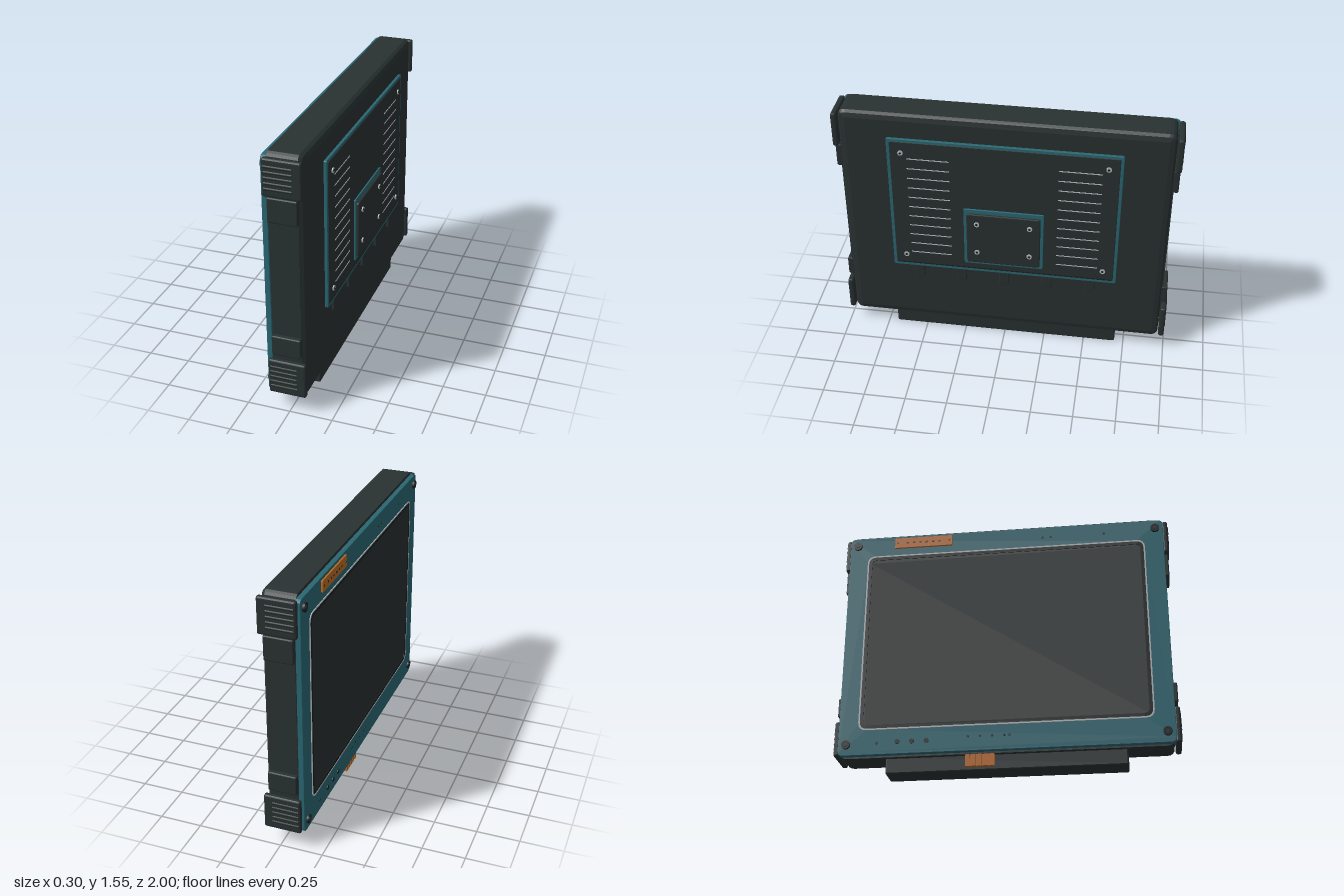
import * as THREE from 'three';

const mat = (name, color) => {
  const m = new THREE.MeshStandardMaterial({ color });
  m.name = name;
  return m;
};

// Rounded rectangle in the (-z, y) plane
function roundRect(target, z0, z1, y0, y1, r) {
  const a = -z1, b = -z0;
  target.moveTo(a + r, y0);
  target.lineTo(b - r, y0);
  target.quadraticCurveTo(b, y0, b, y0 + r);
  target.lineTo(b, y1 - r);
  target.quadraticCurveTo(b, y1, b - r, y1);
  target.lineTo(a + r, y1);
  target.quadraticCurveTo(a, y1, a, y1 - r);
  target.lineTo(a, y0 + r);
  target.quadraticCurveTo(a, y0, a + r, y0);
  return target;
}

// Slab facing along x, outline in z/y, with bevelled rims and an optional hole
function slab(z0, z1, y0, y1, x0, x1, { r = 0.015, size = 0.006, thick = 0.006, segments = 2, hole } = {}) {
  const shape = roundRect(new THREE.Shape(), z0, z1, y0, y1, r);
  if (hole) shape.holes.push(roundRect(new THREE.Path(), ...hole));
  const g = new THREE.ExtrudeGeometry(shape, {
    depth: x1 - x0 - 2 * thick, bevelEnabled: size > 0, bevelSize: size,
    bevelThickness: thick, bevelOffset: -size, bevelSegments: segments, curveSegments: 4,
  });
  g.rotateY(Math.PI / 2);
  g.translate(x0 + thick, 0, 0);
  return g;
}

export function createModel() {
  const model = new THREE.Group();
  const dark = mat('dark casing', 0x293131);
  const screenMat = mat('dark glass', 0x292f31);
  const black = mat('black fittings', 0x1a1f20);
  const teal = mat('teal trim', 0x2a6773);
  const copper = mat('copper', 0xbb6a25);
  const steel = mat('steel', 0xb4babd);
  const flat = { size: 0, thick: 0, r: 0.004 };

  const add = (name, geometry, material) => {
    const m = new THREE.Mesh(geometry, material);
    m.name = name;
    model.add(m);
    return m;
  };
  const box = (name, material, x0, x1, y0, y1, z0, z1) => {
    const m = add(name, new THREE.BoxGeometry(x1 - x0, y1 - y0, z1 - z0), material);
    m.position.set((x0 + x1) / 2, (y0 + y1) / 2, (z0 + z1) / 2);
  };
  // Cylinder along x
  const disc = (name, material, x0, x1, y, z, r, sides = 16) => {
    const g = new THREE.CylinderGeometry(r, r, x1 - x0, sides).rotateZ(-Math.PI / 2);
    add(name, g, material).position.set((x0 + x1) / 2, y, z);
  };

  // Main casing with a straight front and a chamfered rear shell
  add('casing', slab(-0.957, 0.957, 0.09, 1.555, -0.107, 0.05, { ...flat, r: 0.045 }), dark);
  add('rearShell', slab(-0.957, 0.957, 0.09, 1.555, 0.02, 0.089,
    { r: 0.045, size: 0.04, thick: 0.025, segments: 2 }), dark);

  // Foot along the bottom
  add('foot', slab(-0.695, 0.695, 0, 0.11, -0.08, 0.068, { r: 0.012, size: 0.008, thick: 0.008 }), dark);

  // Screen side: bezel, gasket, inner frame and glass
  add('bezel', slab(-0.968, 0.968, 0.1, 1.537, -0.136, -0.105,
    { r: 0.03, size: 0.003, thick: 0.003, hole: [-0.845, 0.845, 0.26, 1.395, 0.045] }), teal);
  add('gasket', slab(-0.854, 0.854, 0.251, 1.404, -0.14, -0.13,
    { ...flat, r: 0.05, hole: [-0.845, 0.845, 0.26, 1.395, 0.045] }), steel);
  add('screenFrame', slab(-0.847, 0.847, 0.258, 1.397, -0.139, -0.128,
    { ...flat, r: 0.045, hole: [-0.825, 0.825, 0.28, 1.375, 0.03] }), black);
  add('screen', slab(-0.835, 0.835, 0.27, 1.385, -0.135, -0.127, { ...flat, r: 0.03 }), screenMat);

  // Bezel screws with sockets
  for (const z of [-0.92, 0.92]) for (const y of [0.165, 1.48]) {
    disc('bezelScrew', black, -0.148, -0.134, y, z, 0.026);
    disc('bezelScrewSocket', dark, -0.15, -0.147, y, z, 0.012, 6);
  }

  // Copper plate with rivets and a centre row of marks
  add('copperPlate', slab(-0.685, -0.325, 1.45, 1.52, -0.146, -0.135, { r: 0.006, size: 0.002, thick: 0.002 }), copper);
  for (const z of [-0.667, -0.343]) disc('plateRivet', black, -0.148, -0.145, 1.485, z, 0.006, 10);
  for (let i = 0; i < 6; i++) box('plateMark', black, -0.147, -0.145, 1.479, 1.489, -0.612 + i * 0.04, -0.598 + i * 0.04);

  // Buttons and small indicator holes on the bezel
  disc('statusLight', black, -0.138, -0.135, 0.17, -0.74, 0.008, 10);
  for (const z of [-0.62, -0.535, -0.45]) disc('button', black, -0.142, -0.135, 0.173, z, 0.014);
  for (const z of [-0.21, -0.14, -0.07, 0, 0.03]) disc('indicator', black, -0.138, -0.135, 0.187, z, 0.007, 10);
  for (const z of [0.235, 0.285, 0.61]) disc('sensorHole', black, -0.138, -0.135, 1.465, z, 0.007, 10);

  // Copper edge connector with fingers
  box('connector', copper, -0.102, -0.084, 0.02, 0.094, -0.23, -0.06);
  box('connectorMount', black, -0.086, -0.075, 0.03, 0.094, -0.22, -0.07);
  for (let i = 0; i < 5; i++) {
    const z = -0.215 + i * 0.035;
    box('connectorFinger', copper, -0.112, -0.1, 0.018, 0.088, z - 0.013, z + 0.013);
  }

  // Both narrow sides: grip rail, end blocks and ribbed corner guards
  for (const s of [-1, 1]) {
    const span = (a, b) => [s * a, s * b].sort((p, q) => p - q);
    box('gripRail', dark, -0.1, 0.065, 0.33, 1.32, ...span(0.95, 0.963));
    for (const [y0, y1] of [[0.355, 0.475], [1.17, 1.315]]) {
      add('gripBlock', slab(...span(0.95, 0.99), y0, y1, -0.1, 0.068, { r: 0.01, size: 0.006, thick: 0.006 }), dark);
    }
    for (const y0 of [0.105, 1.32]) {
      add('cornerGuard', slab(...span(0.962, 0.996), y0, y0 + 0.215, -0.122, 0.096,
        { r: 0.014, size: 0.01, thick: 0.01 }), dark);
      for (let i = 0; i < 5; i++) disc('guardRib', dark, -0.11, 0.045, y0 + 0.047 + i * 0.031, s * 0.991, 0.009, 12);
    }
  }

  // Rear panel: teal rim, dark cover and bottom tabs
  add('rearPanelRim', slab(-0.677, 0.677, 0.507, 1.412, 0.096, 0.114, { r: 0.01, size: 0.002, thick: 0.002 }), teal);
  add('rearPanel', slab(-0.659, 0.659, 0.525, 1.396, 0.106, 0.117, { r: 0.01, size: 0.003, thick: 0.003 }), dark);
  box('panelLowerLip', black, 0.115, 0.1175, 0.53, 0.536, -0.65, 0.65);
  for (let i = -2; i <= 2; i++) {
    add('cableTab', slab(i * 0.261 - 0.03, i * 0.261 + 0.03, 0.415, 0.56, 0.08, 0.106, { r: 0.008, size: 0.004, thick: 0.004 }), dark);
  }

  // Ventilation strips on each half of the panel
  for (const s of [-1, 1]) for (let i = 0; i < 11; i++) {
    const y = 1.287 - i * 0.067;
    box('ventStrip', steel, 0.115, 0.119, y - 0.003, y + 0.003, s * 0.439 - 0.124, s * 0.439 + 0.124);
  }

  // Mounting plate
  add('mountRim', slab(-0.237, 0.237, 0.574, 0.973, 0.112, 0.126, { r: 0.008, size: 0.002, thick: 0.002 }), teal);
  add('mountPlate', slab(-0.219, 0.219, 0.594, 0.946, 0.12, 0.141, { r: 0.014, size: 0.005, thick: 0.005 }), dark);

  // Rear screws with dark sockets
  const rearScrew = (x, y, z) => {
    disc('rearScrew', steel, x - 0.004, x + 0.006, y, z, 0.016);
    disc('rearScrewSocket', black, x + 0.004, x + 0.0075, y, z, 0.008, 6);
  };
  for (const s of [-1, 1]) {
    for (const y of [0.595, 1.325]) rearScrew(0.117, y, s * 0.595);
    for (const y of [0.675, 0.88]) rearScrew(0.141, y, s * 0.157);
  }

  return model;
}
